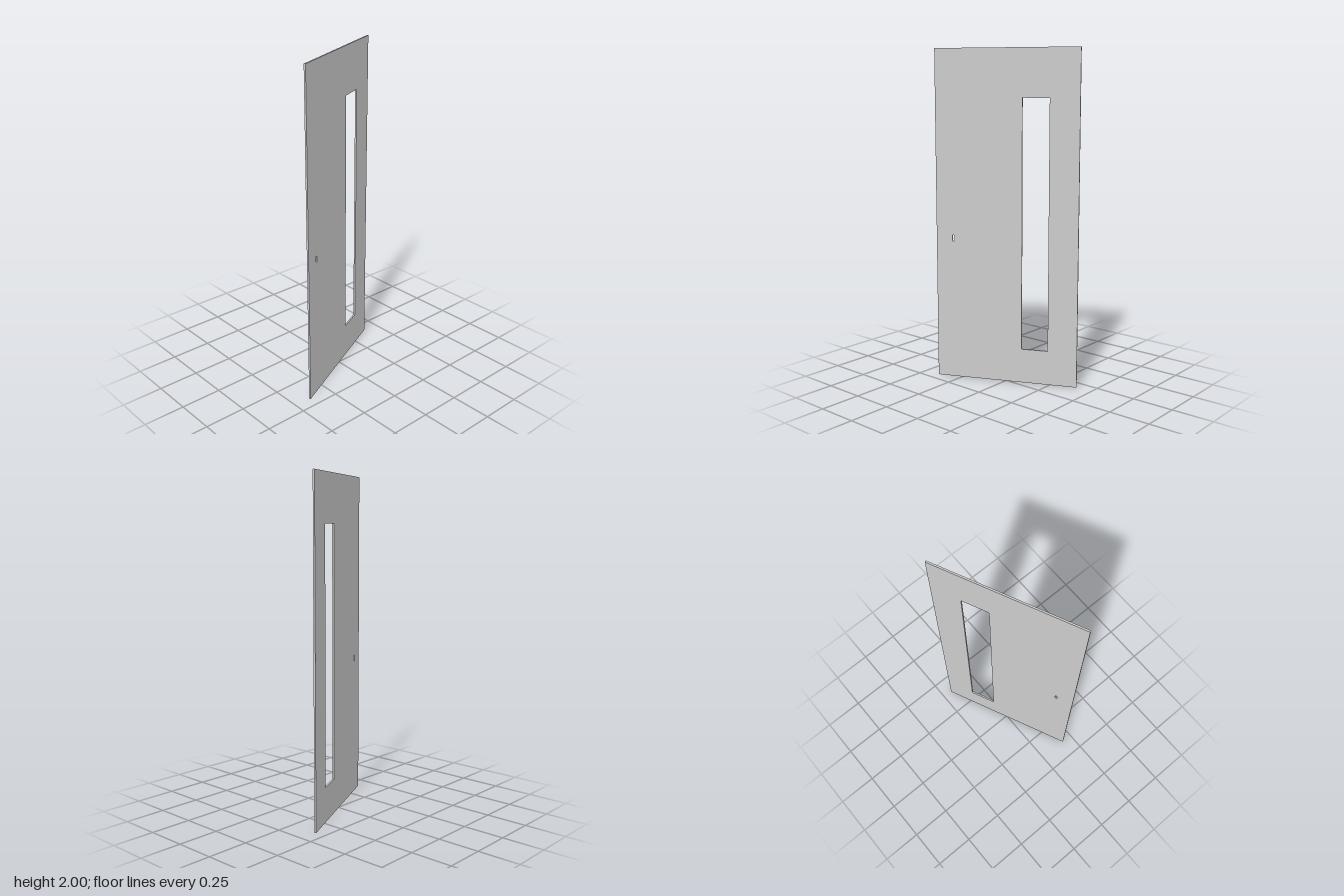
import * as THREE from 'three';

const WIDTH = 0.872, HEIGHT = 2, THICK = 0.01;

// Rectangular outline from two corners
function rect(PathType, x0, y0, x1, y1) {
  return new PathType([[x0, y0], [x1, y0], [x1, y1], [x0, y1]].map(([x, y]) => new THREE.Vector2(x, y)));
}

// Upright slot with rounded ends
function slot(cx, cy, w, h) {
  const r = w / 2, d = h / 2 - r;
  const path = new THREE.Path();
  path.absarc(cx, cy + d, r, 0, Math.PI);
  path.absarc(cx, cy - d, r, Math.PI, Math.PI * 2);
  path.closePath();
  return path;
}

export function createModel() {
  const model = new THREE.Group();
  model.name = 'door';

  // Thin door leaf with a tall window opening and a small keyhole
  const shape = rect(THREE.Shape, -WIDTH / 2, 0, WIDTH / 2, HEIGHT);
  shape.holes.push(
    rect(THREE.Path, 0.097, 0.21, 0.258, 1.715),
    slot(-0.33, 0.873, 0.015, 0.038)
  );
  const geometry = new THREE.ExtrudeGeometry(shape, { depth: THICK, bevelEnabled: false, curveSegments: 8 });
  geometry.translate(0, 0, -THICK / 2);

  const leaf = new THREE.Mesh(geometry, new THREE.MeshStandardMaterial({ color: 0xcccccc }));
  leaf.name = 'doorLeaf';
  // The leaf stands ajar
  leaf.rotation.y = THREE.MathUtils.degToRad(25);
  model.add(leaf);
  return model;
}
